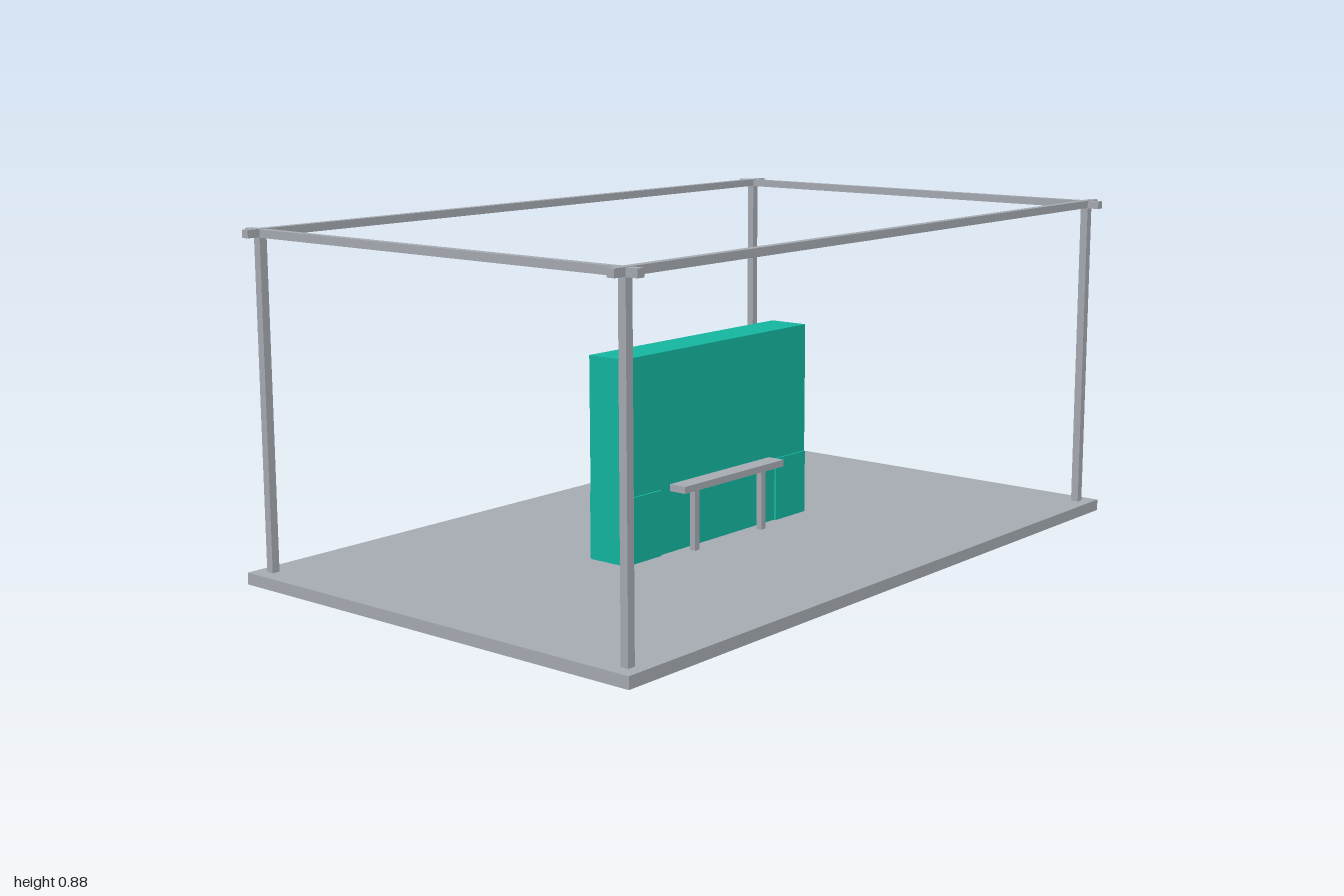
import * as THREE from 'three';

export function createModel() {
  const model = new THREE.Group();
  const grey = new THREE.MeshStandardMaterial({ color: 0xa8adb4 });
  grey.name = 'grey metal';
  const teal = new THREE.MeshStandardMaterial({ color: 0x14b8a2 });
  teal.name = 'teal panel';

  // Box placed by its centre in x and z and by its bottom and top in y
  function box(name, material, w, d, y0, y1, x = 0, z = 0, parent = model) {
    const mesh = new THREE.Mesh(new THREE.BoxGeometry(w, y1 - y0, d), material);
    mesh.name = name;
    mesh.position.set(x, (y0 + y1) / 2, z);
    parent.add(mesh);
    return mesh;
  }

  // Floor slab and central wall
  const floorTop = 0.03;
  box('floor', grey, 2, 1.245, 0, floorTop);
  box('wall', teal, 0.745, 0.112, floorTop, 0.55);

  // Open frame: corner posts and crossing top beams
  const postX = 0.955, postZ = 0.58, bar = 0.021;
  for (const s of [-1, 1]) {
    box('longBeam', grey, 2, bar, 0.856, 0.876, 0, s * postZ);
    box('crossBeam', grey, bar, 1.245, 0.855, 0.875, s * postX, 0);
    for (const t of [-1, 1]) {
      box('post', grey, bar, bar, floorTop, 0.874, s * postX, t * postZ);
    }
  }

  // Each face of the wall has a bench and two low corner panels
  for (const side of [-1, 1]) {
    const bench = new THREE.Group();
    bench.name = side > 0 ? 'frontBench' : 'backBench';
    model.add(bench);
    box('seat', grey, 0.41, 0.05, 0.192, 0.21, 0, side * 0.087, bench);
    for (const s of [-1, 1]) {
      box('benchLeg', grey, 0.017, 0.017, floorTop, 0.192, s * 0.138, side * 0.088, bench);
      box('cornerPanel', teal, 0.13, 0.008, floorTop, 0.2, s * 0.303, side * 0.058);
    }
  }
  return model;
}
